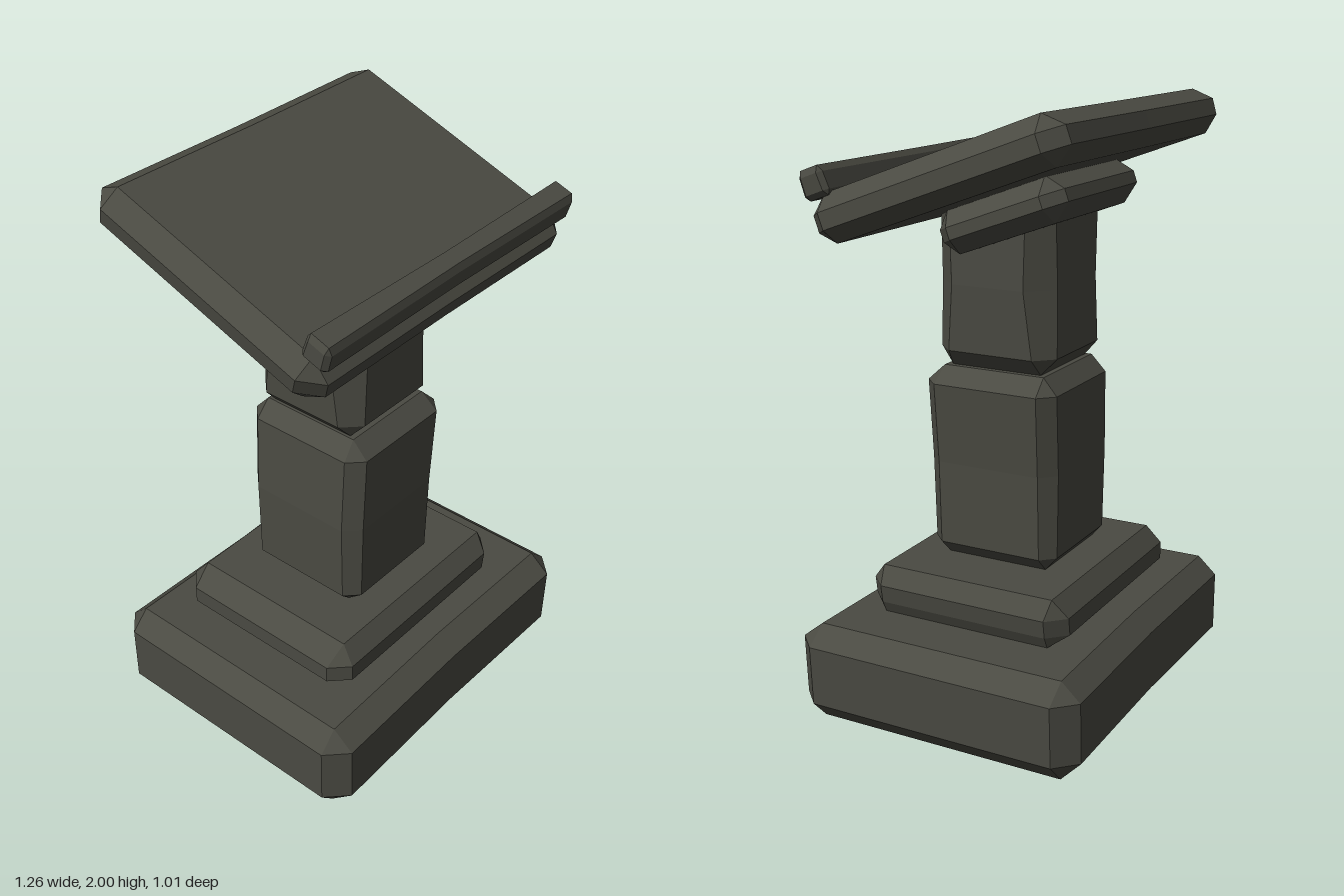
import * as THREE from 'three';

const stone = new THREE.MeshStandardMaterial({ color: 0x4a4a42, flatShading: true });
stone.name = 'dark stone';

// Rough-hewn block: rings are [y, xMin, xMax, zMin, zMax, cornerCut], bottom to top.
// bow pulls the middle of the front and back faces inwards.
function stoneBlock(name, rings, bow = 0) {
  const loops = rings.map(([y, x0, x1, z0, z1, c]) => [
    [x1, z1 - c], [x1, z0 + c], [x1 - c, z0], [(x0 + x1) / 2, z0 + bow], [x0 + c, z0],
    [x0, z0 + c], [x0, z1 - c], [x0 + c, z1], [(x0 + x1) / 2, z1 - bow], [x1 - c, z1],
  ].map(([x, z]) => new THREE.Vector3(x, y, z)));
  const pos = [];
  const tri = (a, b, c) => {
    if (a.equals(b) || b.equals(c) || a.equals(c)) return;
    for (const p of [a, b, c]) pos.push(p.x, p.y, p.z);
  };
  const n = 10;
  const centre = ([y, x0, x1, z0, z1]) => new THREE.Vector3((x0 + x1) / 2, y, (z0 + z1) / 2);
  const bottom = centre(rings[0]);
  const top = centre(rings[rings.length - 1]);
  for (let j = 0; j < n; j++) {
    const k = (j + 1) % n;
    for (let i = 0; i + 1 < loops.length; i++) {
      const lo = loops[i], hi = loops[i + 1];
      tri(lo[j], lo[k], hi[k]);
      tri(lo[j], hi[k], hi[j]);
    }
    tri(bottom, loops[0][k], loops[0][j]);
    tri(top, loops[loops.length - 1][j], loops[loops.length - 1][k]);
  }
  const geometry = new THREE.BufferGeometry();
  geometry.setAttribute('position', new THREE.Float32BufferAttribute(pos, 3));
  geometry.computeVertexNormals();
  const mesh = new THREE.Mesh(geometry, stone);
  mesh.name = name;
  return mesh;
}

export function createModel() {
  const model = new THREE.Group();
  model.name = 'lectern';

  // Stepped foot
  model.add(stoneBlock('base', [
    [0, -0.57, 0.56, -0.44, 0.43, 0],
    [0.065, -0.63, 0.62, -0.505, 0.505, 0.07],
    [0.27, -0.63, 0.63, -0.505, 0.505, 0.07],
    [0.33, -0.56, 0.56, -0.44, 0.43, 0],
  ], 0.01));
  model.add(stoneBlock('step', [
    [0.33, -0.38, 0.38, -0.3, 0.3, 0],
    [0.37, -0.445, 0.4, -0.36, 0.36, 0.06],
    [0.43, -0.445, 0.41, -0.36, 0.36, 0.06],
    [0.49, -0.37, 0.37, -0.31, 0.31, 0],
  ]));

  // Two stacked, slightly crooked pillar stones
  model.add(stoneBlock('lowerPillar', [
    [0.49, -0.19, 0.16, -0.18, 0.18, 0],
    [0.535, -0.235, 0.2, -0.22, 0.235, 0.045],
    [0.82, -0.24, 0.21, -0.225, 0.24, 0.05],
    [1.09, -0.225, 0.235, -0.23, 0.24, 0.05],
    [1.145, -0.17, 0.18, -0.18, 0.18, 0],
  ]));
  model.add(stoneBlock('upperPillar', [
    [1.145, -0.16, 0.16, -0.16, 0.16, 0],
    [1.2, -0.21, 0.205, -0.21, 0.21, 0.06],
    [1.42, -0.22, 0.215, -0.205, 0.21, 0.08],
    [1.67, -0.23, 0.21, -0.2, 0.21, 0.07],
  ]));

  // Sloping top, with its bracket below
  const tilt = THREE.MathUtils.degToRad(20);
  const bracket = stoneBlock('bracket', [
    [-0.07, -0.24, 0.26, -0.17, 0.18, 0],
    [-0.02, -0.31, 0.31, -0.23, 0.23, 0.06],
    [0.02, -0.31, 0.31, -0.23, 0.23, 0.06],
    [0.075, -0.25, 0.25, -0.18, 0.18, 0],
  ]);
  bracket.position.set(0, 1.655, -0.074);
  bracket.rotation.x = tilt;
  const desk = stoneBlock('readingDesk', [
    [-0.077, -0.56, 0.55, -0.39, 0.39, 0],
    [-0.03, -0.615, 0.605, -0.45, 0.45, 0.065],
    [0.025, -0.625, 0.605, -0.45, 0.45, 0.065],
    [0.077, -0.565, 0.545, -0.39, 0.38, 0],
  ], 0.004);
  desk.position.set(0, 1.79, -0.015);
  desk.rotation.x = tilt;

  // Book stop along the front edge
  const ledge = stoneBlock('bookLedge', [
    [-0.047, -0.57, 0.56, -0.035, 0.035, 0],
    [-0.03, -0.59, 0.575, -0.045, 0.05, 0.015],
    [0.025, -0.59, 0.58, -0.045, 0.045, 0.015],
    [0.047, -0.58, 0.57, -0.035, 0.03, 0],
  ], 0.006);
  ledge.position.set(0, 1.762, 0.393);
  ledge.rotation.x = tilt;
  model.add(bracket, desk, ledge);
  return model;
}
